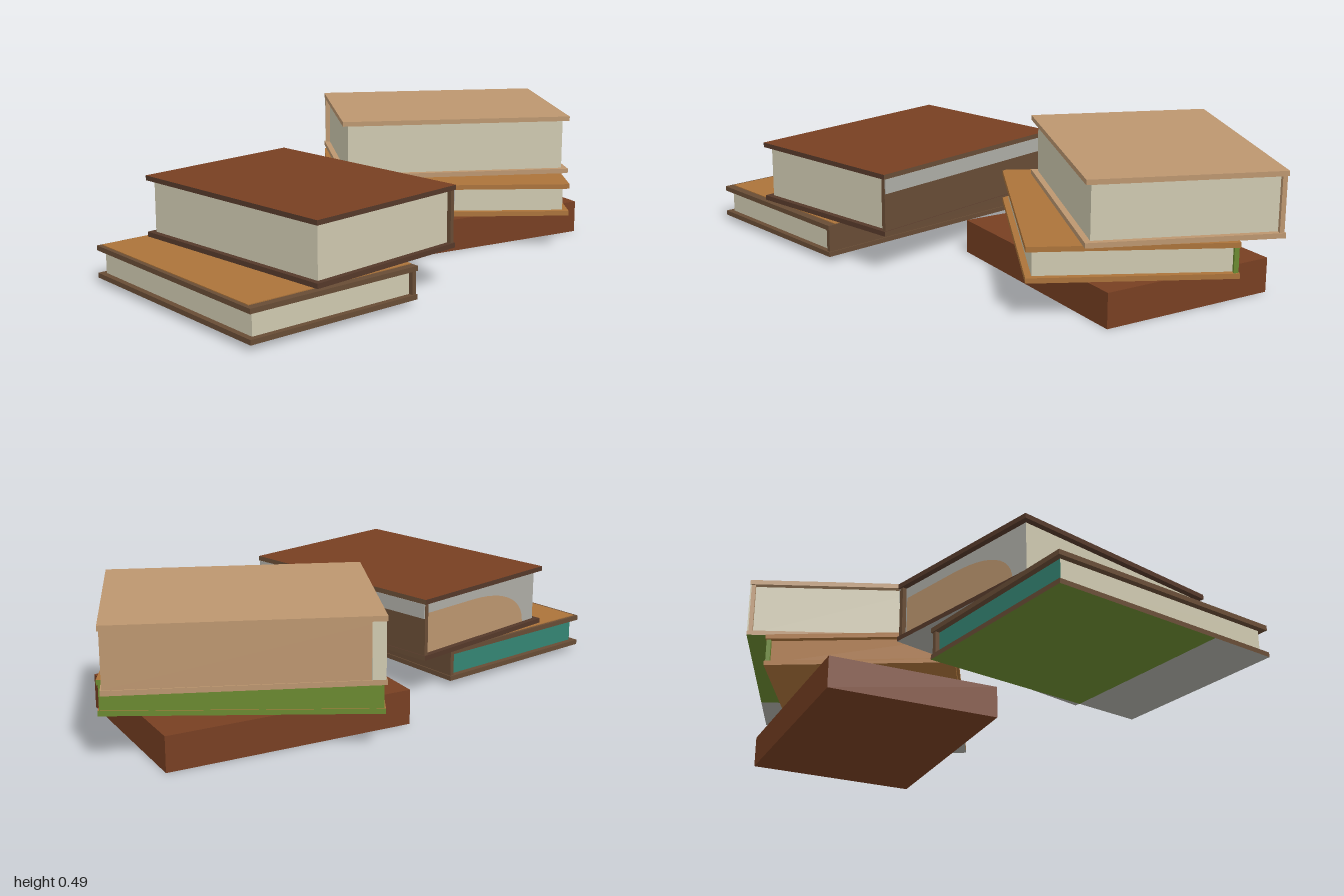
import * as THREE from 'three';

const mat = (name, color) => {
  const m = new THREE.MeshStandardMaterial({ color });
  m.name = name;
  return m;
};

export function createModel() {
  const cream = mat('page cream', 0xcfc9b0);
  const tan = mat('tan cloth', 0xbc966f);
  const orange = mat('ochre cloth', 0xab733a);
  const brown = mat('red brown leather', 0x773f22);
  const dark = mat('dark brown edge', 0x55392a);
  const umber = mat('umber spine', 0x684c35);
  const green = mat('olive green', 0x6b8a30);
  const teal = mat('teal', 0x348573);
  const grey = mat('warm grey', 0xaeada6);

  const root = new THREE.Group();
  root.name = 'bookStacks';

  // box given by its limits; material may be one or six (+x -x +y -y +z -z)
  const box = (parent, name, material, [x0, x1], [y0, y1], [z0, z1]) => {
    const m = new THREE.Mesh(new THREE.BoxGeometry(x1 - x0, y1 - y0, z1 - z0), material);
    m.position.set((x0 + x1) / 2, (y0 + y1) / 2, (z0 + z1) / 2);
    m.name = name;
    parent.add(m);
    return m;
  };

  const place = (name, x, z, turn) => {
    const g = new THREE.Group();
    g.name = name;
    g.position.set(x, 0, z);
    g.rotation.y = turn;
    root.add(g);
    return g;
  };

  // book lying flat: spine on local +x, page ends on local +z and -z
  const book = (o) => {
    const g = place(o.name, o.x, o.z, o.turn);
    const [w, l] = o.size, [y0, y1] = o.y, t = 0.018, inset = 0.022;
    const hw = w / 2, hl = l / 2, split = hl - l * 0.28;
    const cover = (top, under) => [o.spine, o.edge, top, under, o.edge, o.edge];

    // covers; the lower one changes colour underneath near its +z end
    box(g, 'topCover', cover(o.top, o.edge), [-hw, hw], [y1 - t, y1], [-hl, hl]);
    box(g, 'bottomCover', cover(o.edge, o.under), [-hw, hw], [y0, y0 + t], [-hl, split]);
    box(g, 'bottomCoverEnd', cover(o.edge, grey), [-hw, hw], [y0, y0 + t], [split, hl]);

    // page block and spine between the covers
    box(g, 'pages', [cream, cream, cream, cream, cream, o.tail],
      [-hw + inset, hw - 0.02], [y0 + t, y1 - t], [-hl + inset, hl - inset]);
    box(g, 'spine', o.spine, [hw - 0.02, hw - 0.004], [y0 + t, y1 - t], [-hl + 0.005, hl - 0.005]);
    return { g, hw, hl };
  };

  // right stack, bottom: plain closed volume
  const plain = place('plainBook', 0.435, -0.34, 1.772);
  box(plain, 'block', brown, [-0.337, 0.337], [0, 0.125], [-0.45, 0.45]);

  // right stack, middle
  book({
    name: 'ochreBook', x: 0.445, z: -0.335, turn: 1.3, size: [0.706, 0.935], y: [0.135, 0.26],
    top: orange, edge: orange, under: orange, spine: green, tail: orange,
  });

  // right stack, top, with a pale strip at the end of its spine
  const t = book({
    name: 'tanBook', x: 0.493, z: -0.457, turn: 1.393, size: [0.676, 0.904], y: [0.26, 0.49],
    top: tan, edge: tan, under: green, spine: tan, tail: cream,
  });
  box(t.g, 'spineStrip', cream, [t.hw - 0.005, t.hw], [0.278, 0.472], [-t.hl + 0.004, -t.hl + 0.05]);

  // left stack, bottom, with the ochre panel leaving a dark rim
  const b = book({
    name: 'panelBook', x: -0.495, z: 0.303, turn: 0.395, size: [0.704, 0.928], y: [0.02, 0.14],
    top: umber, edge: umber, under: green, spine: umber, tail: teal,
  });
  box(b.g, 'coverPanel', orange, [-b.hw + 0.015, b.hw - 0.004], [0.138, 0.143], [-b.hl + 0.01, b.hl - 0.03]);

  // left stack, top, with a two-tone spine and a stained page end
  const s = book({
    name: 'leatherBook', x: -0.3, z: 0.197, turn: 0.484, size: [0.675, 0.895], y: [0.143, 0.372],
    top: brown, edge: dark, under: grey, spine: umber, tail: grey,
  });
  box(s.g, 'spineBand', grey, [s.hw - 0.005, s.hw + 0.001], [0.3, 0.354], [-s.hl + 0.006, s.hl - 0.006]);
  const stain = new THREE.Shape();
  stain.moveTo(-0.31, 0);
  stain.lineTo(0.25, 0);
  stain.bezierCurveTo(0.25, 0.1, 0.12, 0.15, -0.05, 0.15);
  stain.lineTo(-0.31, 0.15);
  const patch = new THREE.Mesh(new THREE.ShapeGeometry(stain), tan);
  patch.name = 'pageStain';
  patch.rotation.y = Math.PI;
  patch.position.set(0, 0.162, -s.hl + 0.02);
  s.g.add(patch);

  return root;
}
